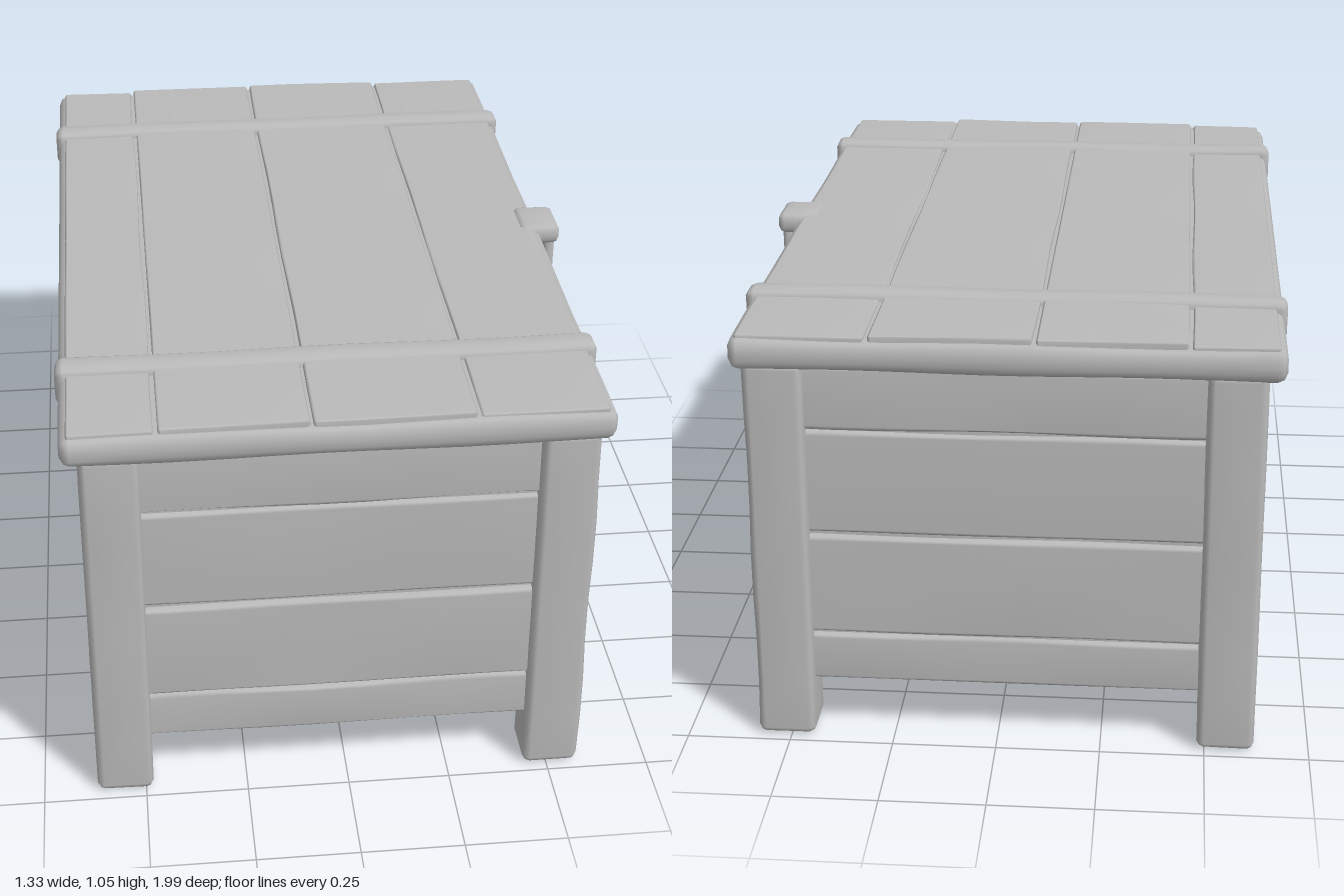
import * as THREE from 'three';
import { mergeVertices } from 'three/addons/utils/BufferGeometryUtils.js';

const grey = new THREE.MeshStandardMaterial({ color: 0xbababa });
grey.name = 'plain grey';

// Worn board: a box with softened edges and slightly uneven, hand-hewn faces.
function board(parent, name, x0, x1, y0, y1, z0, z1, r = 0.015, wob = 0.004) {
  const lo = [x0, y0, z0], hi = [x1, y1, z1];
  const size = hi.map((h, i) => h - lo[i]);
  const seg = size.map((s) => Math.min(14, Math.max(4, Math.round(s / 0.12) + 2)));
  let geo = new THREE.BoxGeometry(1, 1, 1, ...seg);
  geo.deleteAttribute('uv');
  geo.deleteAttribute('normal');
  geo = mergeVertices(geo);
  const pos = geo.attributes.position;
  for (let i = 0; i < pos.count; i++) {
    const inner = [], off = [];
    for (let a = 0; a < 3; a++) {
      const half = size[a] / 2, flat = Math.max(half - r, half * 0.3);
      const k = Math.round((pos.getComponent(i, a) + 0.5) * seg[a]);
      if (k === 0 || k === seg[a]) {
        const s = k === 0 ? -1 : 1;
        inner[a] = s * flat;
        off[a] = s * (half - flat);
      } else {
        inner[a] = -flat + (2 * flat * (k - 1)) / (seg[a] - 2);
        off[a] = 0;
      }
    }
    // round edges and corners
    const n = Math.sqrt(off.filter((o) => o !== 0).length) || 1;
    const p = inner.map((c, a) => c + off[a] / n + (lo[a] + hi[a]) / 2);
    // gentle inward dents, so the outer size holds
    const dent = (s) => wob * (0.5 + 0.5 * Math.sin(p[0] * 9 + s) * Math.sin(p[1] * 13 + s * 2 + 1) * Math.cos(p[2] * 8 + s));
    pos.setXYZ(i, ...p.map((v, a) => v - Math.sign(off[a]) * dent(a * 2.1 + x0 * 5 + y0 * 3)));
  }
  geo.computeVertexNormals();
  const mesh = new THREE.Mesh(geo, grey);
  mesh.name = name;
  parent.add(mesh);
  return mesh;
}

function group(parent, name) {
  const g = new THREE.Group();
  g.name = name;
  parent.add(g);
  return g;
}

export function createModel() {
  const model = new THREE.Group();
  model.name = 'woodenChest';
  const cx = -0.02; // the body sits off centre because of the clasp

  // solid body behind the planks
  const body = group(model, 'body');
  board(body, 'bodyCore', -0.575, 0.535, 0.145, 0.97, -0.935, 0.935, 0.005, 0);

  // four legs that double as corner posts
  const legs = group(model, 'legs');
  for (const sx of [-1, 1]) for (const sz of [-1, 1]) {
    const x = cx + sx * 0.53, z = sz * 0.91;
    board(legs, 'cornerLeg', x - 0.072, x + 0.072, 0, 0.97, z - 0.071, z + 0.071, 0.02, 0.006);
  }

  // planks of the two short ends
  const ends = group(model, 'endPlanks');
  const endSeams = [0.14, 0.27, 0.53, 0.795, 0.96];
  for (const sz of [-1, 1]) for (let i = 0; i < 4; i++) {
    const out = 0.952 + (i % 2) * 0.006;
    board(ends, 'endPlank', -0.56, 0.52, endSeams[i], endSeams[i + 1],
      Math.min(sz * 0.9, sz * out), Math.max(sz * 0.9, sz * out), 0.014, 0.008);
  }

  // planks, bottom rails and upright straps of the two long sides
  const sides = group(model, 'sidePlanks');
  const sideSeams = [0.14, 0.47, 0.75, 0.96];
  for (const sx of [-1, 1]) {
    const slab = (name, inX, outX, y0, y1, z0, z1, r, w) => {
      const a = cx + sx * inX, b = cx + sx * outX;
      board(sides, name, Math.min(a, b), Math.max(a, b), y0, y1, z0, z1, r, w);
    };
    for (let i = 0; i < 3; i++) {
      slab('sidePlank', 0.52, 0.583, sideSeams[i], sideSeams[i + 1], -0.9, 0.9, 0.008, 0.006);
    }
    slab('bottomRail', 0.52, 0.588, 0.14, 0.2, -0.85, 0.85, 0.012, 0.004);
    for (const sz of [-1, 1]) {
      slab('sideStrap', 0.53, 0.608, 0.18, 0.97, sz * 0.685 - 0.042, sz * 0.685 + 0.042, 0.014, 0.005);
    }
  }

  // lid: a rounded rim with a slightly crowned top of four boards
  const lid = group(model, 'lid');
  board(lid, 'lidRim', -0.66, 0.61, 0.95, 1.034, -0.995, 0.995, 0.026, 0.005);
  const lidSeams = [-0.645, -0.44, -0.09, 0.29, 0.595];
  for (let i = 0; i < 4; i++) {
    const crown = i === 1 || i === 2 ? 1.046 : 1.04;
    board(lid, 'lidBoard', lidSeams[i] + 0.002, lidSeams[i + 1] - 0.002, 0.99, crown, -0.98, 0.98, 0.008, 0.005);
  }

  // straps wrapped over the lid
  for (const sz of [-1, 1]) {
    board(lid, 'lidStrap', -0.668, 0.618, 0.948, 1.056, sz * 0.68 - 0.042, sz * 0.68 + 0.042, 0.022, 0.005);
  }

  // hasp hanging from the lid over the lock
  const clasp = group(model, 'clasp');
  board(clasp, 'claspCap', 0.55, 0.66, 0.988, 1.045, -0.07, 0.066, 0.018, 0.002);
  board(clasp, 'claspArm', 0.622, 0.653, 0.835, 1.02, -0.042, 0.042, 0.01, 0.002);
  board(clasp, 'claspStaple', 0.56, 0.635, 0.876, 0.892, -0.02, 0.02, 0.005, 0);

  // lock plate with a pierced keyhole
  const plate = new THREE.Shape([[-0.105, 0.85], [0.115, 0.85], [0.115, 0.64], [0.09, 0.615],
    [-0.08, 0.615], [-0.105, 0.64]].map((p) => new THREE.Vector2(...p)));
  const hole = new THREE.Path();
  hole.moveTo(-0.007, 0.745);
  hole.absarc(0, 0.755, 0.018, Math.PI * 1.3, -Math.PI * 0.3, true);
  hole.lineTo(0.006, 0.69);
  hole.lineTo(-0.006, 0.69);
  plate.holes.push(hole);
  const plateGeo = new THREE.ExtrudeGeometry(plate, {
    depth: 0.035, bevelEnabled: true, bevelThickness: 0.005, bevelSize: 0.004, bevelSegments: 1 });
  plateGeo.rotateY(Math.PI / 2).translate(0.555, 0, 0);
  const lock = new THREE.Mesh(plateGeo, grey);
  lock.name = 'lockPlate';
  clasp.add(lock);

  return model;
}
